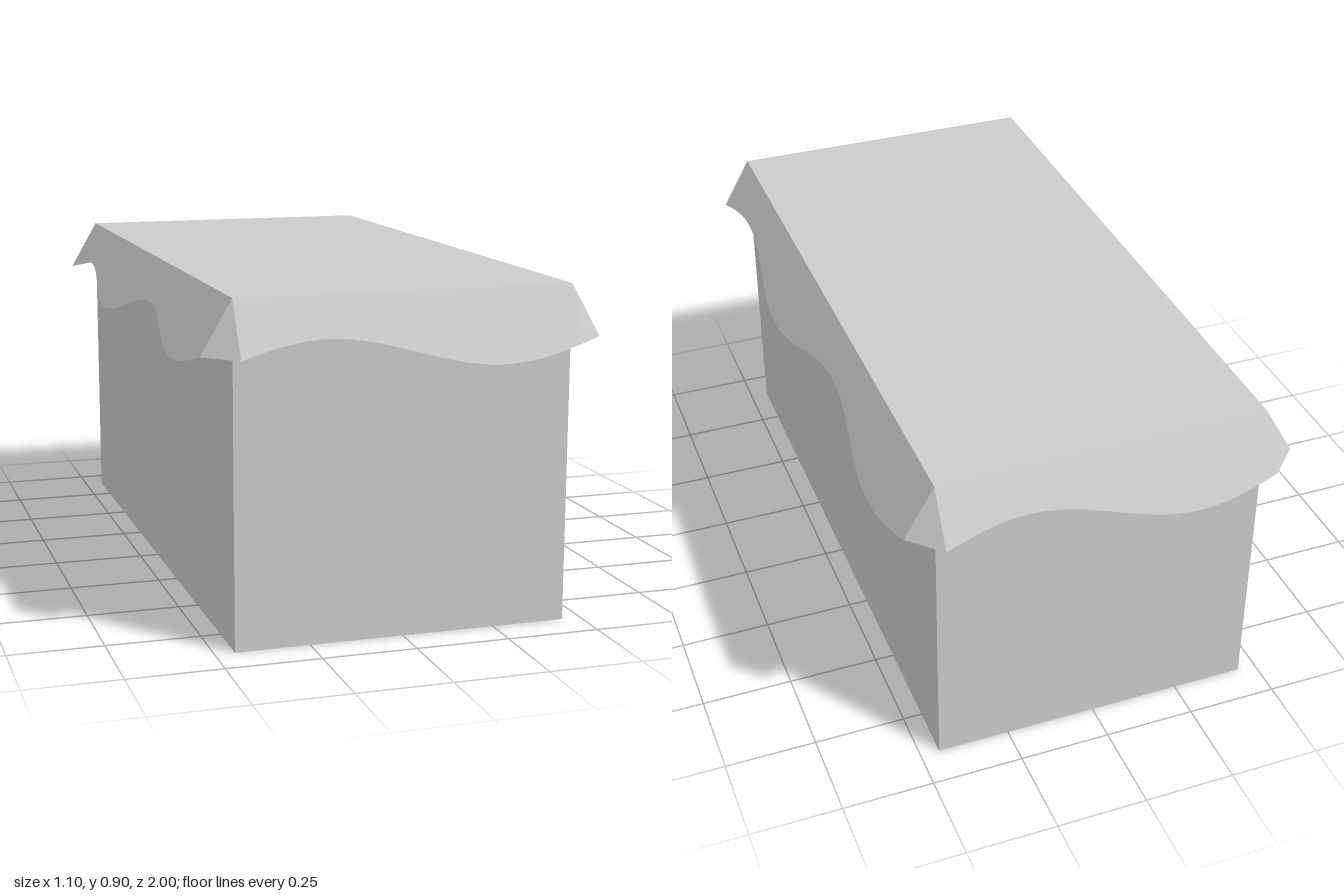
import * as THREE from 'three';

const W = 0.896, H = 0.897, D = 1.792; // table block size
const LENGTH = 0.163, WAVE = 0.045;    // skirt length and wave height along its slope
const TILT = Math.PI / 6;              // skirt lean away from the vertical

const material = new THREE.MeshStandardMaterial({ color: 0xcccccc });
const clothMaterial = new THREE.MeshStandardMaterial({ color: 0xcccccc, side: THREE.DoubleSide });

// Point of the sloping skirt a given length below the top edge
const hang = (x, length) =>
  new THREE.Vector3(x, -length * Math.cos(TILT), length * Math.sin(TILT));

// Sloping cloth flap with a wavy hem
function flapGeometry(width, waves) {
  const geometry = new THREE.PlaneGeometry(width, 1, 40 * waves, 1);
  const pos = geometry.attributes.position;
  for (let i = 0; i < pos.count; i++) {
    const x = pos.getX(i);
    const t = x / width + 0.5;
    const length = pos.getY(i) > 0 ? 0 : LENGTH - WAVE * Math.sin(2 * Math.PI * waves * t);
    const p = hang(x, length);
    pos.setXYZ(i, p.x, p.y, p.z);
  }
  geometry.computeVertexNormals();
  return geometry;
}

// Triangular gusset joining a flap to the next one round the corner
function gussetGeometry(width) {
  const p = hang(width / 2, LENGTH);
  const geometry = new THREE.BufferGeometry().setFromPoints([
    new THREE.Vector3(width / 2, 0, 0),
    p,
    new THREE.Vector3(width / 2 + p.z, p.y, 0),
  ]);
  geometry.computeVertexNormals();
  return geometry;
}

export function createModel() {
  const model = new THREE.Group();
  model.name = 'coveredBlock';

  const add = (parent, name, geometry, mat) => {
    const mesh = new THREE.Mesh(geometry, mat);
    mesh.name = name;
    parent.add(mesh);
    return mesh;
  };

  // Block
  add(model, 'body', new THREE.BoxGeometry(W, H, D), material).position.y = H / 2;

  // Cloth skirt: one flap and one corner gusset per side
  ['front', 'left', 'back', 'right'].forEach((name, i) => {
    const long = i % 2 === 1;
    const width = long ? D : W;
    const angle = i * Math.PI / 2;
    const offset = (long ? W : D) / 2;
    const side = new THREE.Group();
    side.name = name + 'Skirt';
    side.position.set(Math.sin(angle) * offset, H, Math.cos(angle) * offset);
    side.rotation.y = angle;
    add(side, name + 'Flap', flapGeometry(width, long ? 2 : 1), clothMaterial);
    add(side, name + 'CornerGusset', gussetGeometry(width), clothMaterial);
    model.add(side);
  });

  return model;
}
